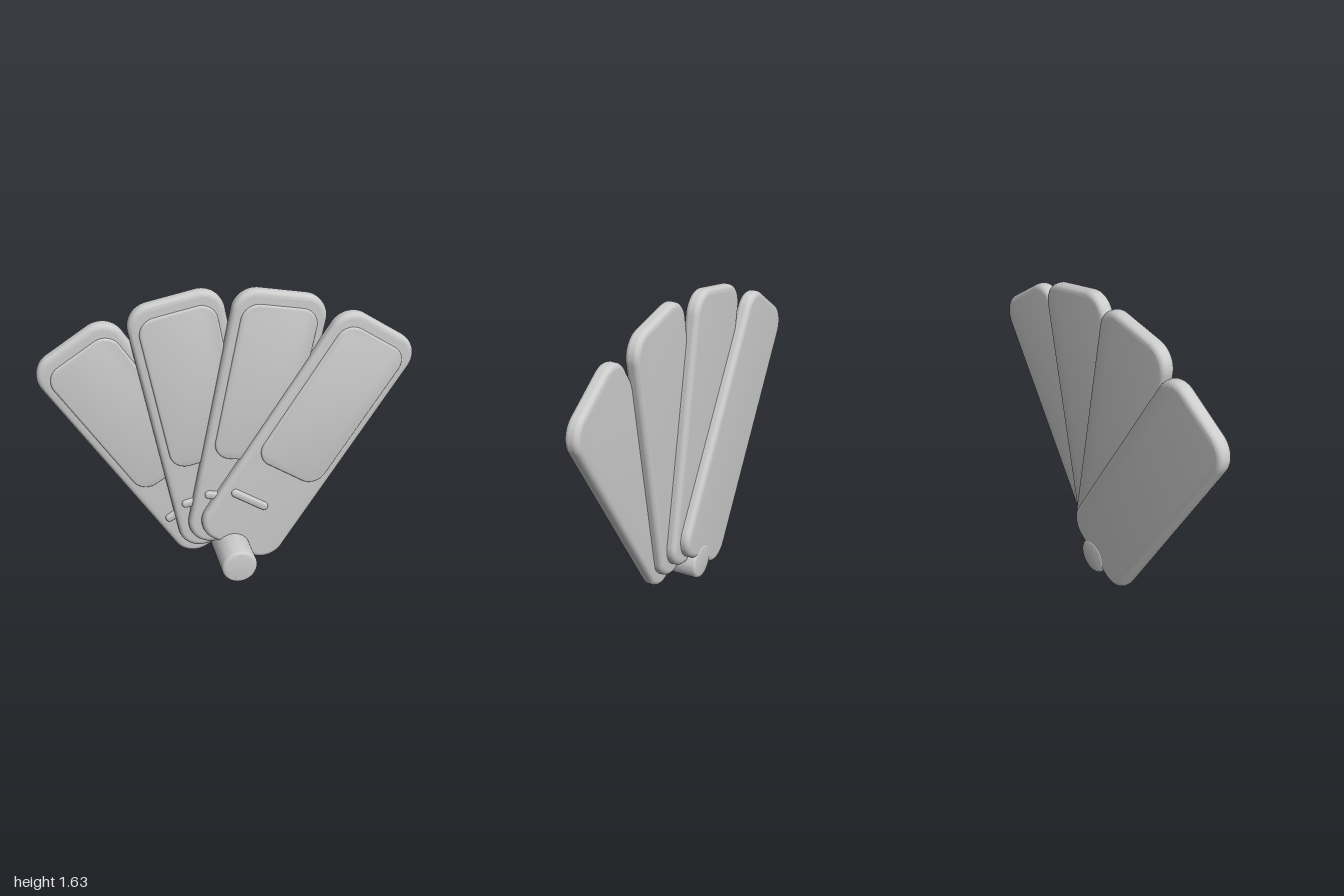
import * as THREE from 'three';
import { toCreasedNormals } from 'three/addons/utils/BufferGeometryUtils.js';

const material = new THREE.MeshStandardMaterial({ color: 0xcccccc });

// Rounded rectangle between (x0, y0) and (x1, y1), extruded from z0 to z1 with soft edges
function softPlate(name, x0, x1, y0, y1, r, z0, z1, bevel) {
  const s = new THREE.Shape();
  s.absarc(x1 - r, y0 + r, r, -Math.PI / 2, 0);
  s.absarc(x1 - r, y1 - r, r, 0, Math.PI / 2);
  s.absarc(x0 + r, y1 - r, r, Math.PI / 2, Math.PI);
  s.absarc(x0 + r, y0 + r, r, Math.PI, Math.PI * 1.5);
  s.closePath();
  const geo = new THREE.ExtrudeGeometry(s, {
    depth: z1 - z0 - 2 * bevel, curveSegments: 10,
    bevelEnabled: true, bevelSize: bevel, bevelThickness: bevel,
    bevelOffset: -bevel, bevelSegments: 5,
  });
  geo.translate(0, 0, z0 + bevel);
  const mesh = new THREE.Mesh(toCreasedNormals(geo, 0.6), material);
  mesh.name = name;
  return mesh;
}

// One fan blade, pointing up from the pivot
function createBlade() {
  const blade = new THREE.Group();
  blade.add(
    softPlate('bladeBody', -0.26, 0.26, 0.003, 1.53, 0.13, -0.04, 0.04, 0.03),
    softPlate('raisedPanel', -0.21, 0.21, 0.55, 1.457, 0.095, 0, 0.053, 0.013),
    softPlate('raisedBar', -0.21, 0.03, 0.295, 0.341, 0.0229, 0, 0.06, 0.014),
  );
  return blade;
}

export function createModel() {
  const model = new THREE.Group();
  model.name = 'fan';

  // Four blades fanned about the pivot, stacked from back to front
  for (let i = 0; i < 4; i++) {
    const blade = createBlade();
    blade.name = `blade${i + 1}`;
    blade.position.set(0, 0.1, -0.17 + i * 0.05);
    blade.rotation.z = THREE.MathUtils.degToRad(33 - i * 22);
    model.add(blade);
  }

  // Pivot pin with rounded rims
  const R = 0.1, H = 0.213, b = 0.02;
  const profile = [new THREE.Vector2(0, -H)];
  for (const [side, start] of [[-1, -Math.PI / 2], [1, 0]]) {
    for (let i = 0; i <= 5; i++) {
      const a = start + (i / 5) * Math.PI / 2;
      profile.push(new THREE.Vector2(R - b + b * Math.cos(a), side * (H - b) + b * Math.sin(a)));
    }
  }
  profile.push(new THREE.Vector2(0, H));
  const pinGeo = toCreasedNormals(new THREE.LatheGeometry(profile, 48), 0.6);
  pinGeo.rotateX(Math.PI / 2);
  const pin = new THREE.Mesh(pinGeo, material);
  pin.name = 'pivotPin';
  pin.position.y = 0.1;
  model.add(pin);

  return model;
}
